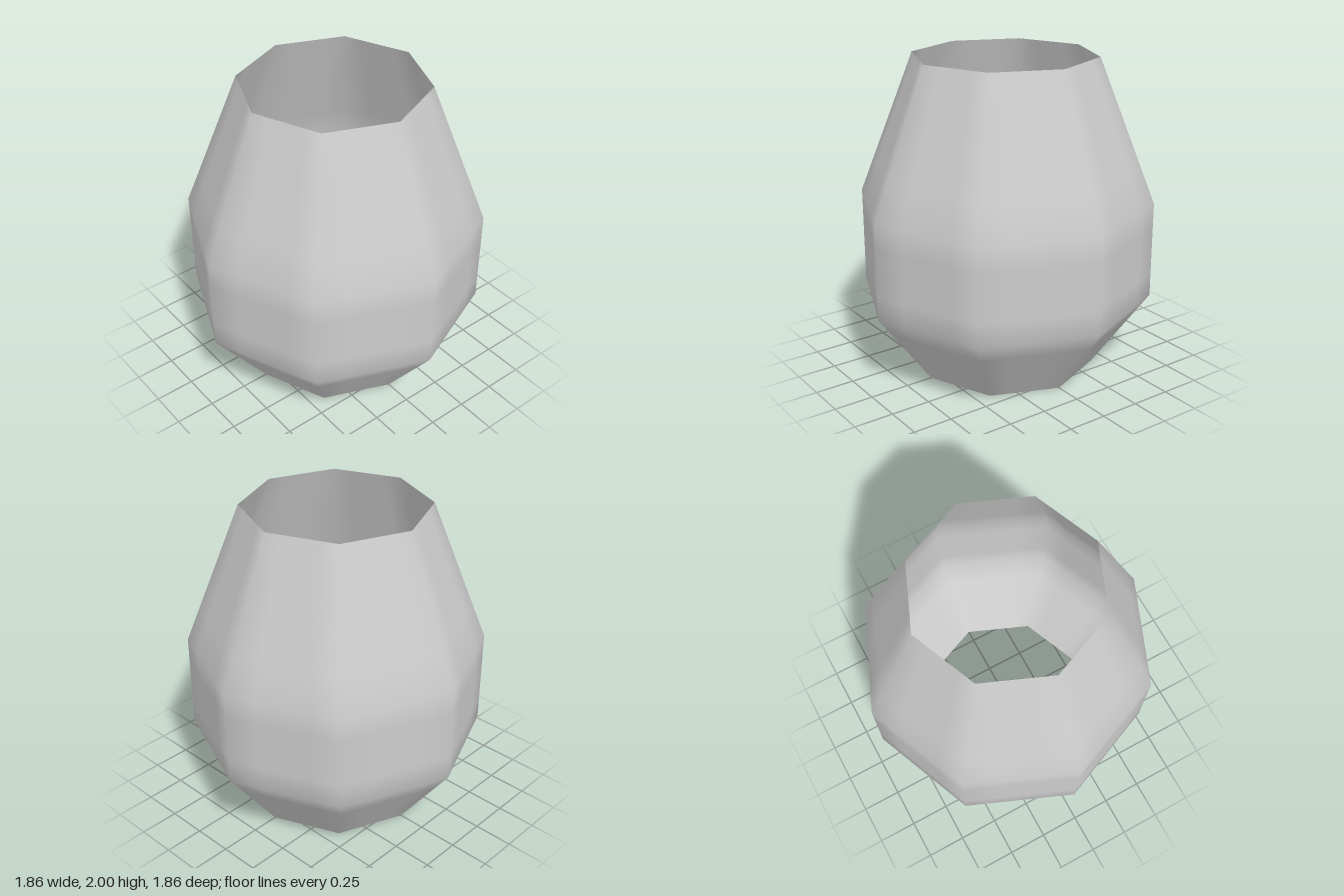
import * as THREE from 'three';
import { mergeVertices } from 'three/addons/utils/BufferGeometryUtils.js';

const SIDES = 8, SUB = 4;

export function createModel() {
  const group = new THREE.Group();
  group.name = 'vase';
  const greyClay = new THREE.MeshStandardMaterial({ color: 0xcccccc, side: THREE.DoubleSide });
  greyClay.name = 'greyClay';

  // Straight-sided profile, each stretch divided so shading softens only near the edges
  const corners = [[0.576, 0], [0.931, 0.49], [0.931, 1.1], [0.576, 2]].map(p => new THREE.Vector2(...p));
  const profile = [corners[0]];
  for (let i = 1; i < corners.length; i++) {
    for (let k = 1; k <= SUB; k++) profile.push(corners[i - 1].clone().lerp(corners[i], k / SUB));
  }
  const lathe = new THREE.LatheGeometry(profile, SIDES * SUB);

  // Pull the round wall in to the flat sides of an octagon
  const pos = lathe.attributes.position;
  const step = (Math.PI * 2) / SIDES;
  for (let i = 0; i < pos.count; i++) {
    const column = Math.floor(i / profile.length) % SUB;
    const offset = (column / SUB - 0.5) * step;
    const s = Math.cos(step / 2) / Math.cos(offset);
    pos.setXYZ(i, pos.getX(i) * s, pos.getY(i), pos.getZ(i) * s);
  }

  // Weld the seam and smooth the normals
  lathe.deleteAttribute('normal');
  lathe.deleteAttribute('uv');
  const wall = mergeVertices(lathe, 1e-4);
  wall.computeVertexNormals();

  // Open at top and bottom
  const mesh = new THREE.Mesh(wall, greyClay);
  mesh.name = 'vaseWall';
  group.add(mesh);
  return group;
}
